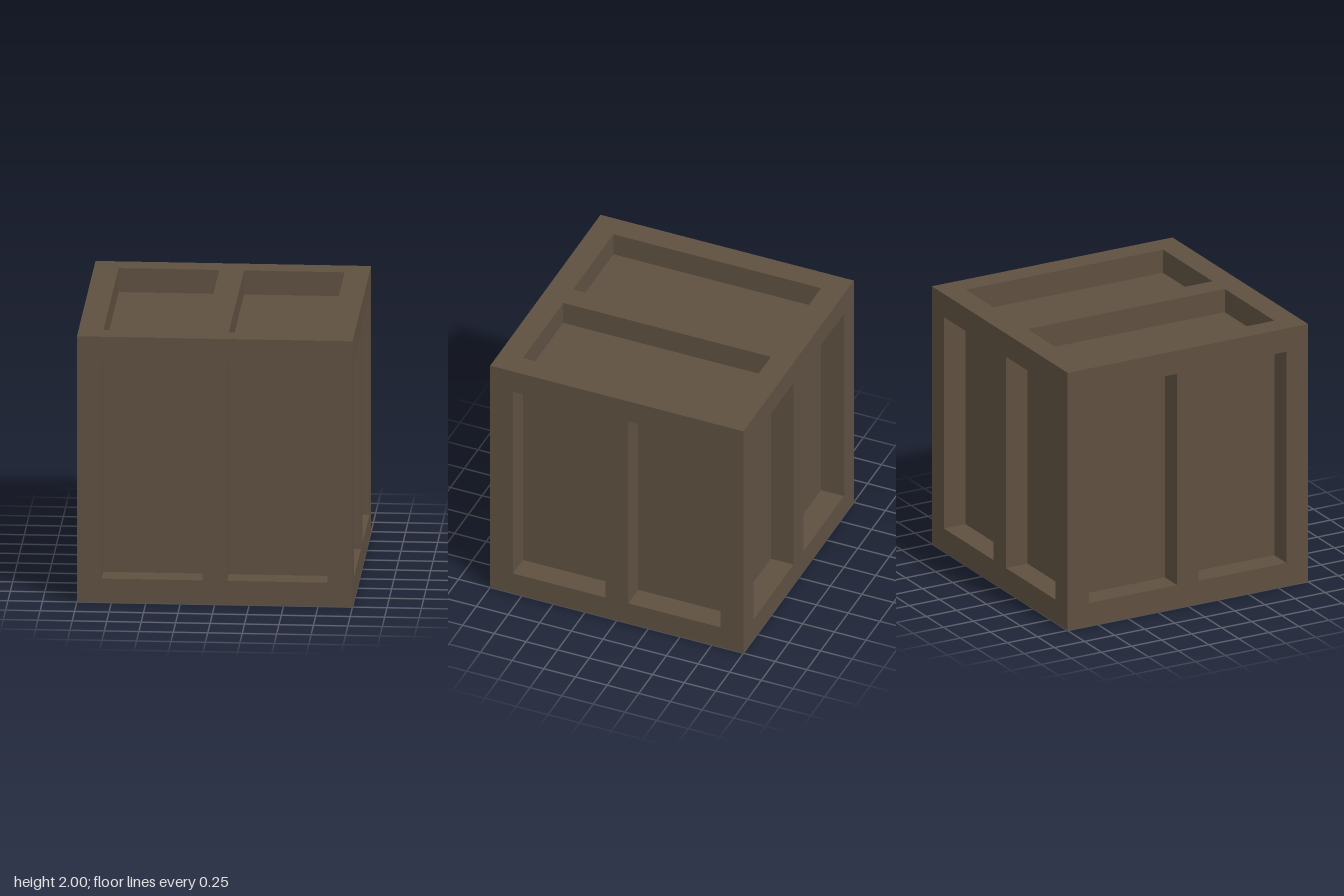
import * as THREE from 'three';

const HALF = 1;        // half the crate's side
const BAR = 0.18;      // width and depth of the frame bars
const INNER = HALF - BAR;

function rectangle(Type, x0, y0, x1, y1) {
  const r = new Type();
  r.moveTo(x0, y0);
  r.lineTo(x1, y0);
  r.lineTo(x1, y1);
  r.lineTo(x0, y1);
  r.closePath();
  return r;
}

// One side's frame: a square with two openings, mitred towards the core
function frameGeometry() {
  const shape = rectangle(THREE.Shape, -HALF, -HALF, HALF, HALF);
  shape.holes.push(
    rectangle(THREE.Path, -INNER, -INNER, -BAR / 2, INNER),
    rectangle(THREE.Path, BAR / 2, -INNER, INNER, INNER),
  );
  const geometry = new THREE.ExtrudeGeometry(shape, { depth: BAR, bevelEnabled: false });
  geometry.translate(0, 0, INNER);

  // Pull the back outline in, so neighbouring frames meet at 45 degrees
  const p = geometry.attributes.position;
  for (let i = 0; i < p.count; i++) {
    if (p.getZ(i) < INNER + BAR / 2) {
      p.setX(i, THREE.MathUtils.clamp(p.getX(i), -INNER, INNER));
      p.setY(i, THREE.MathUtils.clamp(p.getY(i), -INNER, INNER));
    }
  }
  geometry.computeVertexNormals();
  return geometry;
}

export function createModel() {
  const wood = new THREE.MeshStandardMaterial({ color: 0x5f5041 });
  wood.name = 'brown wood';

  const crate = new THREE.Group();
  crate.name = 'crate';

  // Core whose faces are the sunken panels
  const core = new THREE.Mesh(new THREE.BoxGeometry(2 * INNER, 2 * INNER, 2 * INNER), wood);
  core.name = 'sunkenPanels';
  core.position.y = HALF;
  crate.add(core);

  // Frames on all six sides
  const geometry = frameGeometry();
  const q = Math.PI / 2;
  const sides = [
    ['frontFrame', 0, 0],
    ['leftFrame', 0, q],
    ['backFrame', 0, 2 * q],
    ['rightFrame', 0, -q],
    ['topFrame', -q, 0],
    ['bottomFrame', q, 0],
  ];
  for (const [name, rx, ry] of sides) {
    const frame = new THREE.Mesh(geometry, wood);
    frame.name = name;
    frame.rotation.set(rx, ry, 0);
    frame.position.y = HALF;
    crate.add(frame);
  }
  return crate;
}
